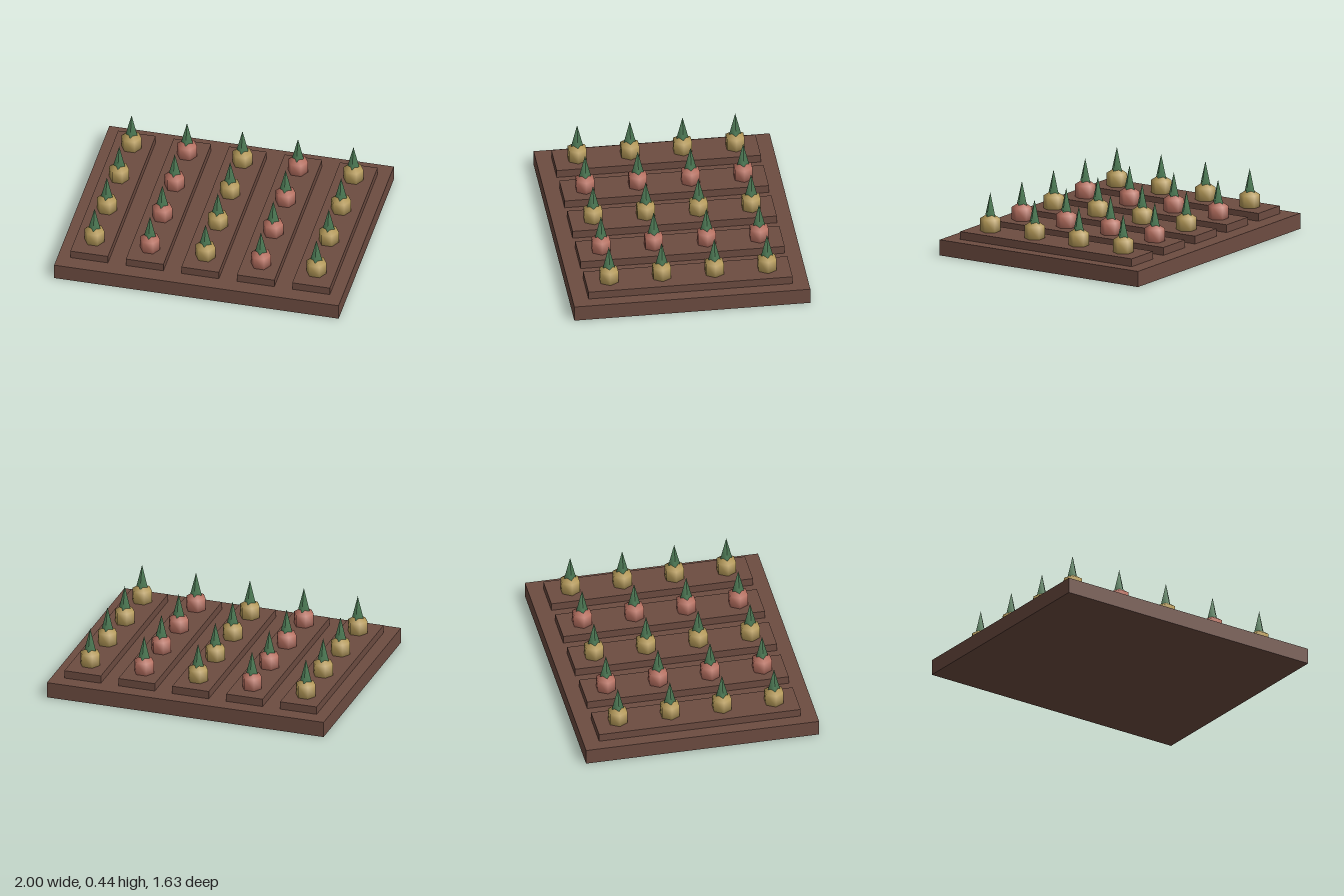
import * as THREE from 'three';

const mat = (name, color) => {
  const m = new THREE.MeshStandardMaterial({ color });
  m.name = name;
  return m;
};

export function createModel() {
  const soil = mat('soil brown', 0x6d4c41);
  const yellow = mat('ochre yellow', 0xb99d5b);
  const red = mat('clay red', 0xbb7363);
  const green = mat('leaf green', 0x4d7a55);

  const group = new THREE.Group();
  group.name = 'vegetablePlot';
  const add = (parent, name, geometry, material, x, y, z) => {
    const mesh = new THREE.Mesh(geometry, material);
    mesh.name = name;
    mesh.position.set(x, y, z);
    parent.add(mesh);
    return mesh;
  };

  // Ground slab
  add(group, 'ground', new THREE.BoxGeometry(2, 0.11, 1.63), soil, 0, 0.055, 0);

  // Shared shapes: raised bed, six-sided root, four-sided leaf spike
  const bedGeo = new THREE.BoxGeometry(0.264, 0.06, 1.41);
  const rootGeo = new THREE.SphereGeometry(0.081, 6, 3).scale(1, 1.1, 1);
  const leafGeo = new THREE.ConeGeometry(0.05, 0.2, 4);

  // Five beds with four plants each, alternating in colour
  for (let i = 0; i < 5; i++) {
    const x = (i - 2) * 0.39;
    add(group, 'bed', bedGeo, soil, x, 0.135, 0);
    for (let j = 0; j < 4; j++) {
      const plant = new THREE.Group();
      plant.name = 'plant';
      plant.position.set(x, 0, (j - 1.5) * 0.364);
      add(plant, 'root', rootGeo, i % 2 ? red : yellow, 0, 0.208, 0);
      add(plant, 'leaves', leafGeo, green, 0, 0.335, 0);
      group.add(plant);
    }
  }
  return group;
}
